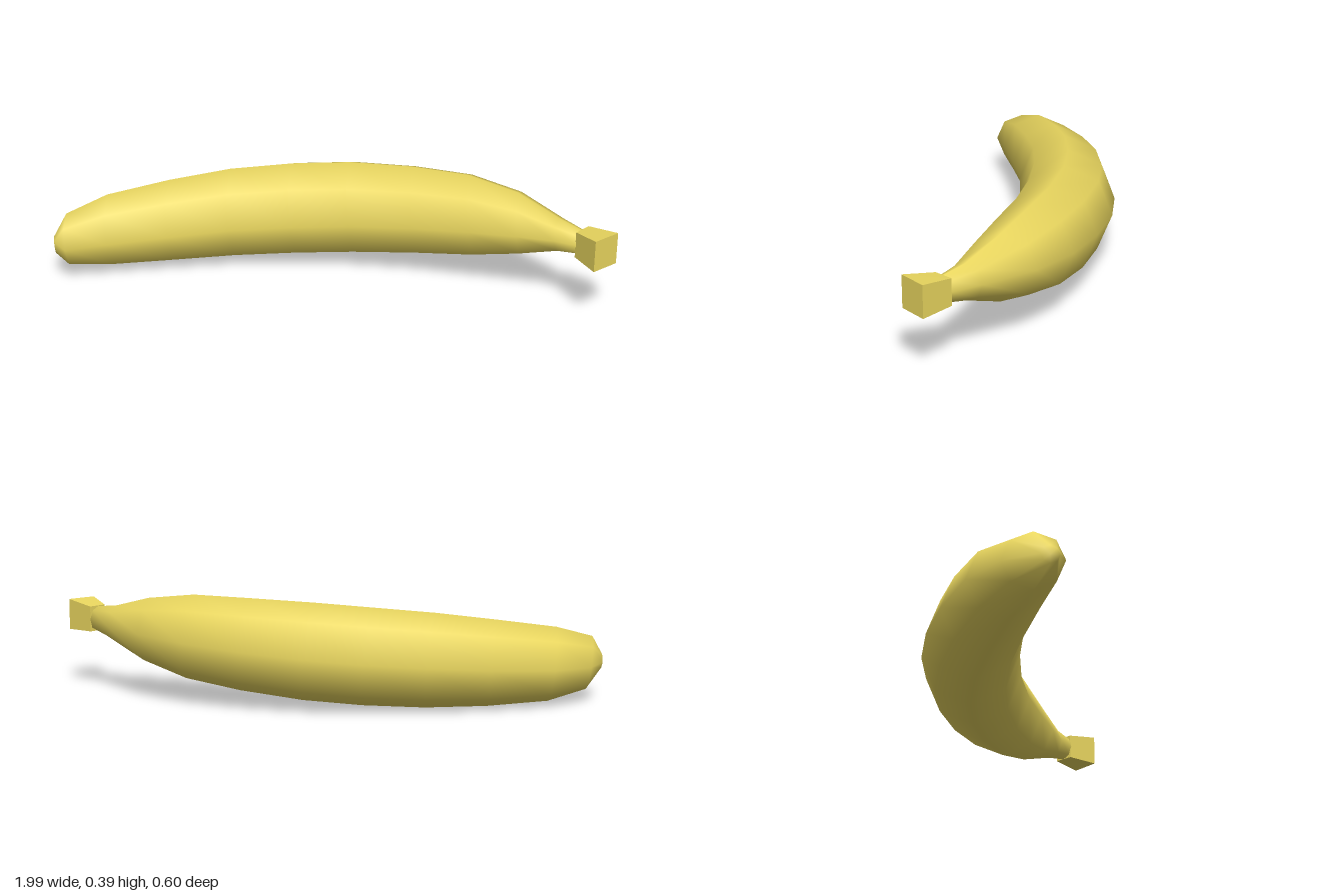
import * as THREE from 'three';

// Lofts rings given as [outer x, outer z, inner x, inner z, low y, high y].
function loft(rings, sides, { turn = 0, grow = 1, lean = 0 } = {}) {
  const pos = [], index = [];
  const middles = rings.map(([xo, zo, xi, zi, lo, hi]) => [(xo + xi) / 2, (lo + hi) / 2, (zo + zi) / 2]);
  rings.forEach(([xo, zo, xi, zi, lo, hi], i) => {
    const [cx, cy, cz] = middles[i];
    for (let j = 0; j < sides; j++) {
      const a = turn + (j / sides) * Math.PI * 2;
      const c = Math.cos(a) * grow, s = Math.sin(a) * grow * (hi - lo) / 2;
      pos.push(cx + c * (xo - xi) / 2 - lean * s, cy + s, cz + c * (zo - zi) / 2);
    }
  });
  const last = (rings.length - 1) * sides;
  const startCap = rings.length * sides, endCap = startCap + 1;
  pos.push(...middles[0], ...middles[middles.length - 1]);
  for (let j = 0; j < sides; j++) {
    const k = (j + 1) % sides;
    for (let r = 0; r < last; r += sides) {
      const a = r + j, b = r + k, c = r + sides + k, d = r + sides + j;
      index.push(a, b, c, a, c, d);
    }
    index.push(startCap, k, j, endCap, last + j, last + k);
  }
  const g = new THREE.BufferGeometry();
  g.setAttribute('position', new THREE.Float32BufferAttribute(pos, 3));
  g.setIndex(index);
  g.computeVertexNormals();
  return g;
}

export function createModel() {
  const group = new THREE.Group();
  group.name = 'banana';
  const yellow = 0xead75f;

  // Curved eight-sided fruit, from the blunt tip to the neck
  const body = new THREE.Mesh(loft([
    [-0.995, 0.155, -0.98, 0.215, 0.105, 0.165],
    [-0.95, 0.03, -0.94, 0.232, 0.04, 0.235],
    [-0.82, -0.09, -0.80, 0.185, 0.01, 0.28],
    [-0.60, -0.19, -0.59, 0.125, 0.003, 0.315],
    [-0.38, -0.26, -0.38, 0.075, 0.005, 0.345],
    [-0.16, -0.298, -0.16, 0.05, 0.015, 0.365],
    [0.05, -0.302, 0.05, 0.045, 0.03, 0.38],
    [0.28, -0.265, 0.28, 0.065, 0.055, 0.388],
    [0.49, -0.20, 0.48, 0.102, 0.085, 0.39],
    [0.67, -0.095, 0.65, 0.14, 0.135, 0.365],
    [0.82, 0.06, 0.78, 0.172, 0.195, 0.32],
    [0.90, 0.15, 0.855, 0.207, 0.217, 0.308],
  ], 8, { lean: 0.1 }), new THREE.MeshStandardMaterial({ color: yellow }));
  body.name = 'fruitBody';

  // Square stem flaring towards its cut end
  const stem = new THREE.Mesh(loft([
    [0.897, 0.147, 0.855, 0.203, 0.216, 0.31],
    [0.995, 0.222, 0.92, 0.30, 0.212, 0.326],
  ], 4, { turn: Math.PI / 4, grow: Math.SQRT2 }).toNonIndexed(),
  new THREE.MeshStandardMaterial({ color: yellow, flatShading: true }));
  stem.geometry.computeVertexNormals();
  stem.name = 'stem';

  group.add(body, stem);
  return group;
}
